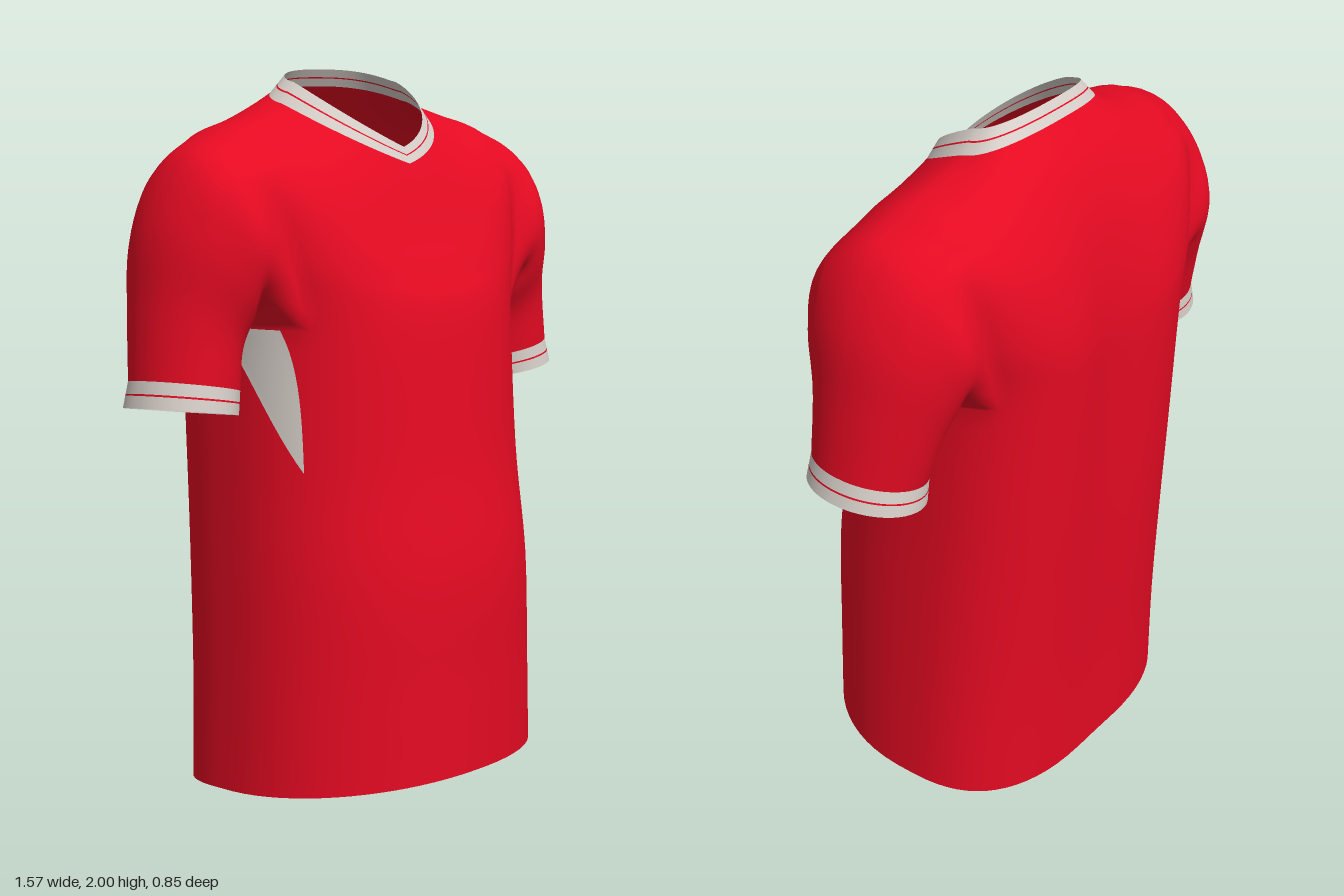
import * as THREE from 'three';

const red = new THREE.MeshStandardMaterial({ color: 0xe50a22, side: THREE.DoubleSide });
red.name = 'red fabric';
const pale = new THREE.MeshStandardMaterial({ color: 0xd8d0ca, side: THREE.DoubleSide });
pale.name = 'pale trim';

const COLS = 72, SUB = 6;       // columns around the torso, rows per key section
const HALF = 7;                 // armhole half width in columns
const ROW0 = 4 * SUB, ROW1 = 7 * SUB; // armhole bottom and top rows

// Torso sections from hem to neckline: half width, side y, front y, front z,
// back y, back z, side z, V-shape, roundness, spine dip, slope power
const TORSO = [
  [0.51, 0.04, 0.08, 0.42, 0.00, -0.375, -0.02, 0, 2.2, 0.005, 1],
  [0.497, 0.32, 0.34, 0.42, 0.30, -0.385, -0.02, 0, 2.2, 0.01, 1.3],
  [0.485, 0.63, 0.63, 0.418, 0.63, -0.405, -0.03, 0, 2.2, 0.018, 2],
  [0.475, 0.94, 0.94, 0.377, 0.94, -0.425, -0.05, 0, 2.2, 0.03, 2],
  [0.475, 1.32, 1.32, 0.337, 1.32, -0.44, -0.06, 0, 2.3, 0.042, 2],
  [0.53, 1.56, 1.45, 0.295, 1.47, -0.43, -0.065, 0, 2.3, 0.04, 2],
  [0.56, 1.765, 1.55, 0.25, 1.61, -0.395, -0.07, 0, 2.2, 0.025, 2],
  [0.495, 1.835, 1.63, 0.218, 1.73, -0.35, -0.075, 0.1, 2.1, 0.01, 1.8],
  [0.37, 1.873, 1.69, 0.192, 1.855, -0.285, -0.08, 0.3, 2.05, 0, 1.4],
  [0.25, 1.908, 1.745, 0.165, 1.953, -0.208, -0.08, 0.5, 2, 0, 1],
];
const COLLAR_TOP = [0.203, 1.965, 1.79, 0.143, 2.0, -0.18, -0.08, 0.5, 2, 0, 1];

// Sleeve sections from shoulder to hem:
// outer x, y, inner x, y, middle z, half depth, extra depth toward the armpit
const SLEEVE = [
  [0.62, 1.768, 0.487, 1.335, -0.078, 0.25, 0.16],
  [0.705, 1.6, 0.495, 1.295, -0.075, 0.222, 0.14],
  [0.737, 1.4, 0.495, 1.235, -0.075, 0.185, 0.06],
  [0.763, 1.20, 0.492, 1.145, -0.062, 0.162, 0],
];
const CUFF_END = [0.783, 1.13, 0.5, 1.083, -0.06, 0.166, 0];

// Smooth interpolation through a list of number rows
function spline(keys, t) {
  const n = keys.length - 1, i = Math.min(Math.floor(t), n - 1), f = t - i;
  const b = keys[i], c = keys[i + 1];
  return b.map((bv, k) => {
    const cv = c[k];
    const av = i > 0 ? keys[i - 1][k] : 2 * bv - cv;
    const dv = i + 2 <= n ? keys[i + 2][k] : 2 * cv - bv;
    return bv + 0.5 * f * (cv - av + f * (2 * av - 5 * bv + 4 * cv - dv + f * (3 * (bv - cv) + dv - av)));
  });
}

// Point on a torso section; angle 0 is the left side, 90 degrees the front
function torsoPoint([a, ys, yF, zF, yB, zB, zc, vee, round, dip, power], angle) {
  const c = Math.cos(angle), s = Math.sin(angle), front = s > 0;
  const e = 2 / (front ? round : round + 0.6);
  const x = a * Math.sign(c) * Math.abs(c) ** e;
  let z = zc + ((front ? zF : zB) - zc) * Math.abs(s) ** e;
  let f = Math.abs(s) ** power;
  if (front) f += vee * ((1 - Math.abs(c)) ** 0.85 - f);
  else z += dip * Math.abs(s) * Math.exp(-((x / 0.14) ** 2));
  return [x, ys + ((front ? yF : yB) - ys) * f, z];
}

function sleevePoint([ox, oy, ix, iy, zc, hz, pear], phi, side) {
  const s = Math.sin(phi), c = Math.cos(phi);
  return [
    side * ((ox + ix) / 2 + s * (ox - ix) / 2),
    (oy + iy) / 2 + s * (oy - iy) / 2 + 0.012 * c,
    zc + hz * c * (1 - pear * s),
  ];
}

function makeMesh(name, points, index, material) {
  const g = new THREE.BufferGeometry();
  g.setAttribute('position', new THREE.Float32BufferAttribute(points.flat(), 3));
  g.setIndex(index);
  g.computeVertexNormals();
  const mesh = new THREE.Mesh(g, material);
  mesh.name = name;
  return mesh;
}

function quad(index, a, b, c, d, flip) {
  if (flip) index.push(a, b, d, b, c, d);
  else index.push(a, d, b, b, d, c);
}

// Surface through equal-length rings
function loft(name, rings, material, flip = false, closed = true) {
  const n = rings[0].length, index = [];
  for (let r = 0; r < rings.length - 1; r++)
    for (let j = 0; j < (closed ? n : n - 1); j++) {
      const k = (j + 1) % n;
      quad(index, r * n + j, r * n + k, (r + 1) * n + k, (r + 1) * n + j, flip);
    }
  return makeMesh(name, rings.flat(), index, material);
}

// Pale band with a thin red stitched line along it
function band(name, ringAt, flip) {
  const group = new THREE.Group();
  group.name = name;
  const strip = (part, from, to, mat) => group.add(loft(part, [ringAt(from), ringAt(to)], mat, flip));
  strip('lowerBand', 0, 0.47, pale);
  strip('stitchLine', 0.47, 0.54, red);
  strip('upperBand', 0.54, 1, pale);
  return group;
}

const mixRow = (a, b, t) => a.map((v, i) => v + (b[i] - v) * t);
const columnAngle = (c) => (c / COLS) * Math.PI * 2;

export function createModel() {
  const model = new THREE.Group();
  model.name = 'shirt';
  const points = [], index = [];

  // Torso grid with the armhole cells left open
  const rows = (TORSO.length - 1) * SUB;
  for (let r = 0; r <= rows; r++) {
    const key = spline(TORSO, r / SUB);
    for (let c = 0; c < COLS; c++) points.push(torsoPoint(key, columnAngle(c)));
  }
  const id = (r, c) => r * COLS + ((c + COLS) % COLS);
  const inArmhole = (r, c) => {
    const d = (c + HALF) % (COLS / 2);
    return r >= ROW0 && r < ROW1 && d < 2 * HALF;
  };
  for (let r = 0; r < rows; r++)
    for (let c = 0; c < COLS; c++)
      if (!inArmhole(r, c)) quad(index, id(r, c), id(r, c + 1), id(r + 1, c + 1), id(r + 1, c));

  // Sleeves grown from the armhole edges, and their cuffs
  for (const side of [1, -1]) {
    const at = (r, d) => (side > 0 ? id(r, d) : id(r, COLS / 2 - d));
    const loop = [];
    for (let d = -HALF; d < HALF; d++) loop.push(at(ROW0, d));
    for (let r = ROW0; r < ROW1; r++) loop.push(at(r, HALF));
    for (let d = HALF; d > -HALF; d--) loop.push(at(ROW1, d));
    for (let r = ROW1; r > ROW0; r--) loop.push(at(r, -HALF));

    const phis = loop.map((i) => Math.atan2((points[i][1] - 1.56) / 0.24, (points[i][2] + 0.08) / 0.22));
    const paths = loop.map((i, j) => [points[i], ...SLEEVE.map((k) => sleevePoint(k, phis[j], side))]);
    let previous = loop;
    for (let t = 1; t <= SLEEVE.length * SUB; t++) {
      const ring = paths.map((p) => points.push(spline(p, t / SUB)) - 1);
      ring.forEach((v, j) => {
        const k = (j + 1) % ring.length;
        quad(index, previous[j], previous[k], ring[k], v, side < 0);
      });
      previous = ring;
    }
    const last = SLEEVE[SLEEVE.length - 1];
    model.add(band(side > 0 ? 'leftCuff' : 'rightCuff',
      (t) => phis.map((p) => sleevePoint(mixRow(last, CUFF_END, t), p, side)), side < 0));
  }
  model.add(makeMesh('bodyAndSleeves', points, index, red));

  // V-neck collar
  const neck = TORSO[TORSO.length - 1];
  model.add(band('collar', (t) => Array.from({ length: COLS },
    (_, c) => torsoPoint(mixRow(neck, COLLAR_TOP, t), columnAngle(c))), false));

  // Tapered underarm panels lying just above the torso
  for (const side of [1, -1]) {
    const rings = [];
    for (let i = 0; i <= 12; i++) {
      const t = i / 12, key = spline(TORSO, 3 + t);
      const front = 30 - 7 * t ** 3, back = 30 - 34 * t;
      rings.push(Array.from({ length: 9 }, (_, j) => {
        const [x, y, z] = torsoPoint(key, THREE.MathUtils.degToRad(back + (front - back) * j / 8));
        return [side * x * 1.012, y, z * 1.012];
      }));
    }
    model.add(loft(side > 0 ? 'leftUnderarmPanel' : 'rightUnderarmPanel', rings, pale, side < 0, false));
  }
  return model;
}
